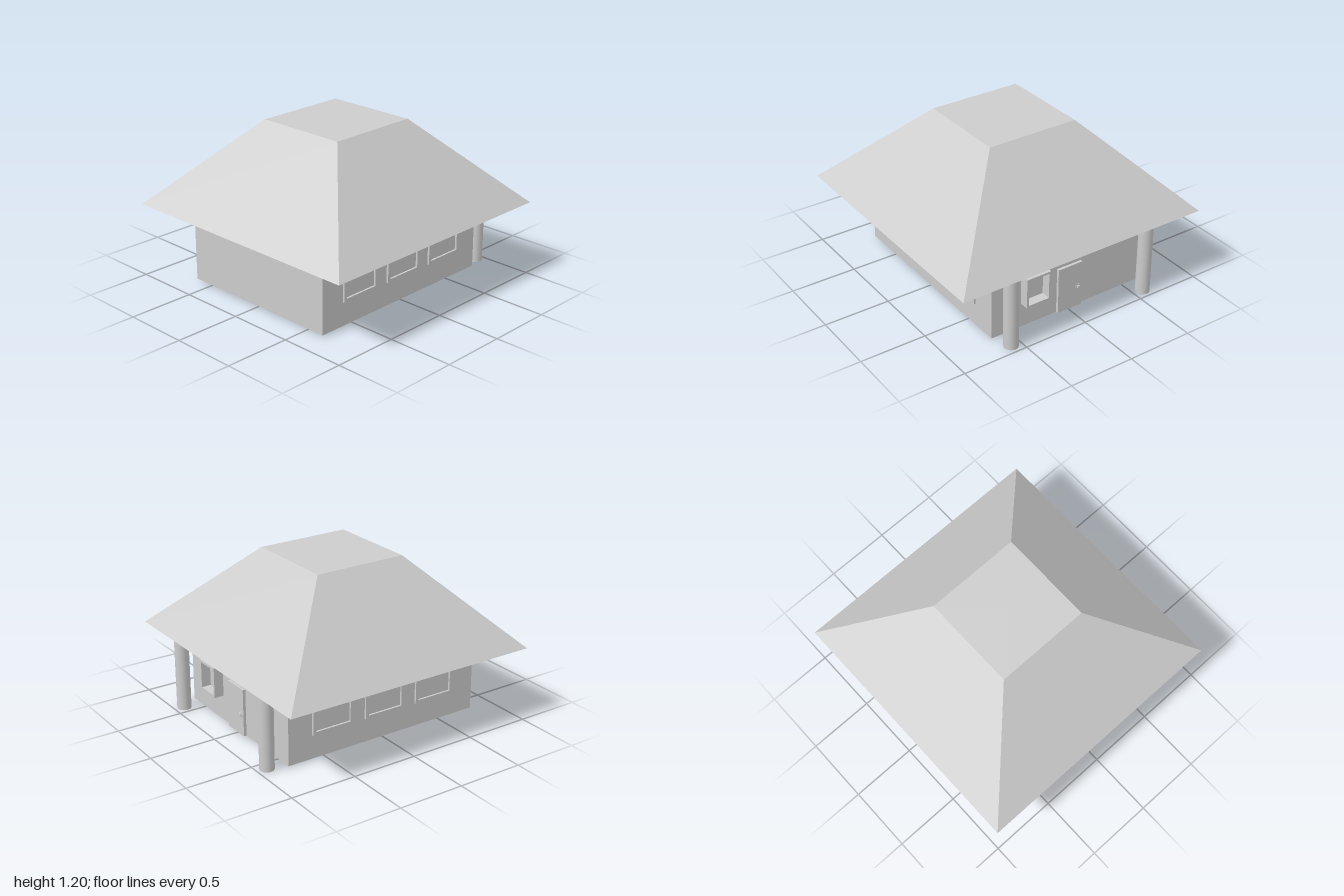
import * as THREE from 'three';
import { toCreasedNormals } from 'three/addons/utils/BufferGeometryUtils.js';

export function createModel() {
  const house = new THREE.Group();
  house.name = 'house';
  const grey = new THREE.MeshStandardMaterial({ color: 0xcccccc });
  grey.name = 'plain grey';

  function add(name, geometry, x, y, z, parent = house) {
    const mesh = new THREE.Mesh(geometry, grey);
    mesh.name = name;
    mesh.position.set(x, y, z);
    parent.add(mesh);
    return mesh;
  }

  // Rectangular frame with an open middle, back on z = 0
  function frameGeometry(w, h, border, depth) {
    const rect = (P, a, b) => new P([
      new THREE.Vector2(-a, -b), new THREE.Vector2(a, -b),
      new THREE.Vector2(a, b), new THREE.Vector2(-a, b),
    ]);
    const shape = rect(THREE.Shape, w / 2, h / 2);
    shape.holes.push(rect(THREE.Path, w / 2 - border, h / 2 - border));
    return new THREE.ExtrudeGeometry(shape, { depth, bevelEnabled: false });
  }

  // Walls
  add('walls', new THREE.BoxGeometry(1.594, 0.55, 1.3), 0, 0.287, 0);

  // Flat-topped hipped roof
  const roof = new THREE.CylinderGeometry(0.358 * Math.SQRT2, Math.SQRT2, 0.642, 4);
  roof.rotateY(Math.PI / 4);
  add('roof', toCreasedNormals(roof, 0.3), 0, 0.883, 0);

  // Porch posts
  for (const z of [0.577, -0.577]) {
    add('porchPost', new THREE.CylinderGeometry(0.053, 0.053, 0.562, 32), 0.924, 0.281, z);
  }

  // Three windows on the front and on the back
  for (const side of [1, -1]) {
    for (const x of [-0.437, 0.001, 0.439]) {
      const frame = add('windowFrame', frameGeometry(0.332, 0.202, 0.024, 0.016), x, 0.291, side * 0.649);
      if (side < 0) frame.rotation.y = Math.PI;
    }
  }

  // Deep window beside the door
  const sideWindow = add('sideWindowFrame', frameGeometry(0.2, 0.23, 0.016, 0.074), 0.796, 0.319, 0.307);
  sideWindow.rotation.y = Math.PI / 2;

  // Door with a round knob
  const door = new THREE.Group();
  door.name = 'door';
  house.add(door);
  add('doorPanel', new THREE.BoxGeometry(0.03, 0.357, 0.205), 0.803, 0.192, 0, door);
  const profile = [[0, 0], [0.024, 0], [0.024, 0.003], [0.012, 0.004], [0.011, 0.007], [0.015, 0.011], [0.012, 0.015], [0, 0.016]];
  const knob = new THREE.LatheGeometry(profile.map(([r, y]) => new THREE.Vector2(r, y)), 24);
  knob.rotateZ(-Math.PI / 2);
  add('doorKnob', toCreasedNormals(knob, 0.8), 0.817, 0.173, -0.07, door);

  return house;
}
